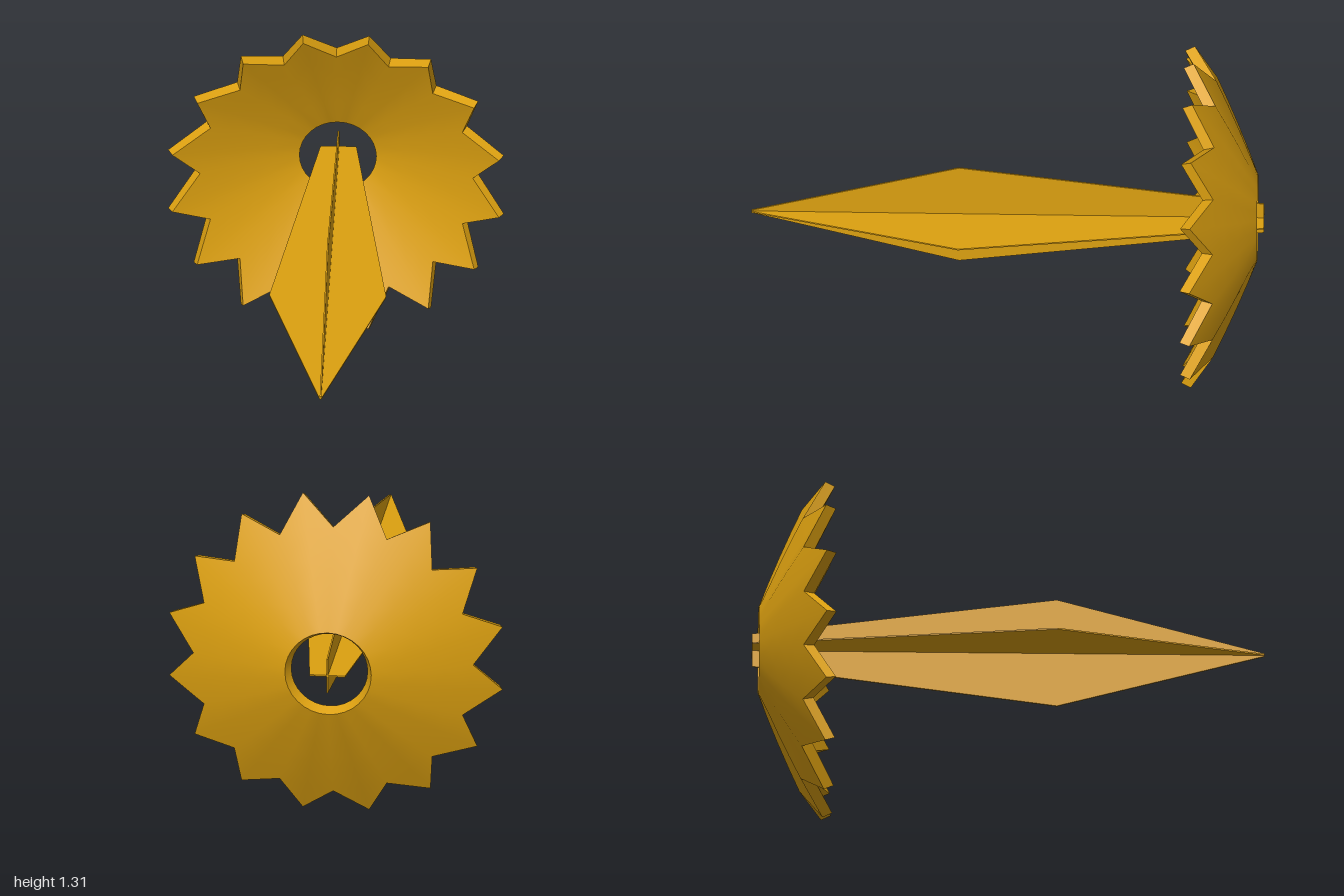
import * as THREE from 'three';
import { toCreasedNormals } from 'three/addons/utils/BufferGeometryUtils.js';

const AXIS_Y = 0.66;
const POINTS = 16;

// Conical star-edged collar: a closed sheet cross-section swept round the z axis
function collarGeometry() {
  const steps = POINTS * 2, rings = 4;
  // [inner r, inner z, valley r, valley z, tip r, tip z]
  const front = [0.15, -0.93, 0.532, -0.768, 0.65, -0.684];
  const back = [0.17, -0.975, 0.55, -0.81, 0.668, -0.722];
  const sheet = ([r0, z0, rv, zv, rt, zt], tip) => {
    const r1 = tip ? rt : rv, z1 = tip ? zt : zv;
    return Array.from({ length: rings + 1 }, (_, i) => {
      const t = i / rings;
      return [r0 + (r1 - r0) * t, z0 + (z1 - z0) * t - 0.02 * t * (1 - t)];
    });
  };
  const positions = [], index = [], n = (rings + 1) * 2;
  for (let k = 0; k < steps; k++) {
    const a = (k / steps) * Math.PI * 2, tip = k % 2 === 1;
    const section = [...sheet(front, tip), ...sheet(back, tip).reverse()];
    for (const [r, z] of section) positions.push(r * Math.cos(a), r * Math.sin(a), z);
    for (let j = 0; j < n; j++) {
      const k2 = (k + 1) % steps, j2 = (j + 1) % n;
      const p = k * n + j, q = k * n + j2, s = k2 * n + j2, t = k2 * n + j;
      // mirror the diagonal about each point
      if (tip) index.push(p, q, t, q, s, t);
      else index.push(p, q, s, p, s, t);
    }
  }
  const g = new THREE.BufferGeometry();
  g.setAttribute('position', new THREE.Float32BufferAttribute(positions, 3));
  g.setIndex(index);
  return toCreasedNormals(g, 0.7);
}

// Thin pointed blade, long direction along z and width along x
function bladeGeometry() {
  const half = [[0.07, -1], [0.228, 0.19], [0.006, 1]];
  const outline = [...half, ...half.map(([x, z]) => [-x, z]).reverse()];
  const shape = new THREE.Shape(outline.map(([x, z]) => new THREE.Vector2(x, z)));
  const depth = 0.006;
  return new THREE.ExtrudeGeometry(shape, { depth, bevelEnabled: false })
    .translate(0, 0, -depth / 2)
    .rotateX(Math.PI / 2);
}

export function createModel() {
  const model = new THREE.Group();
  model.name = 'daffodilLikeDart';
  const gold = new THREE.MeshStandardMaterial({ color: 0xdca010 });

  const collar = new THREE.Mesh(collarGeometry(), gold);
  collar.name = 'starCollar';
  collar.position.y = AXIS_Y;
  model.add(collar);

  // Two blades crossed at right angles
  const blade = bladeGeometry();
  ['horizontalBlade', 'verticalBlade'].forEach((name, i) => {
    const mesh = new THREE.Mesh(blade, gold);
    mesh.name = name;
    mesh.position.y = AXIS_Y;
    mesh.rotation.z = i * Math.PI / 2;
    model.add(mesh);
  });
  return model;
}
